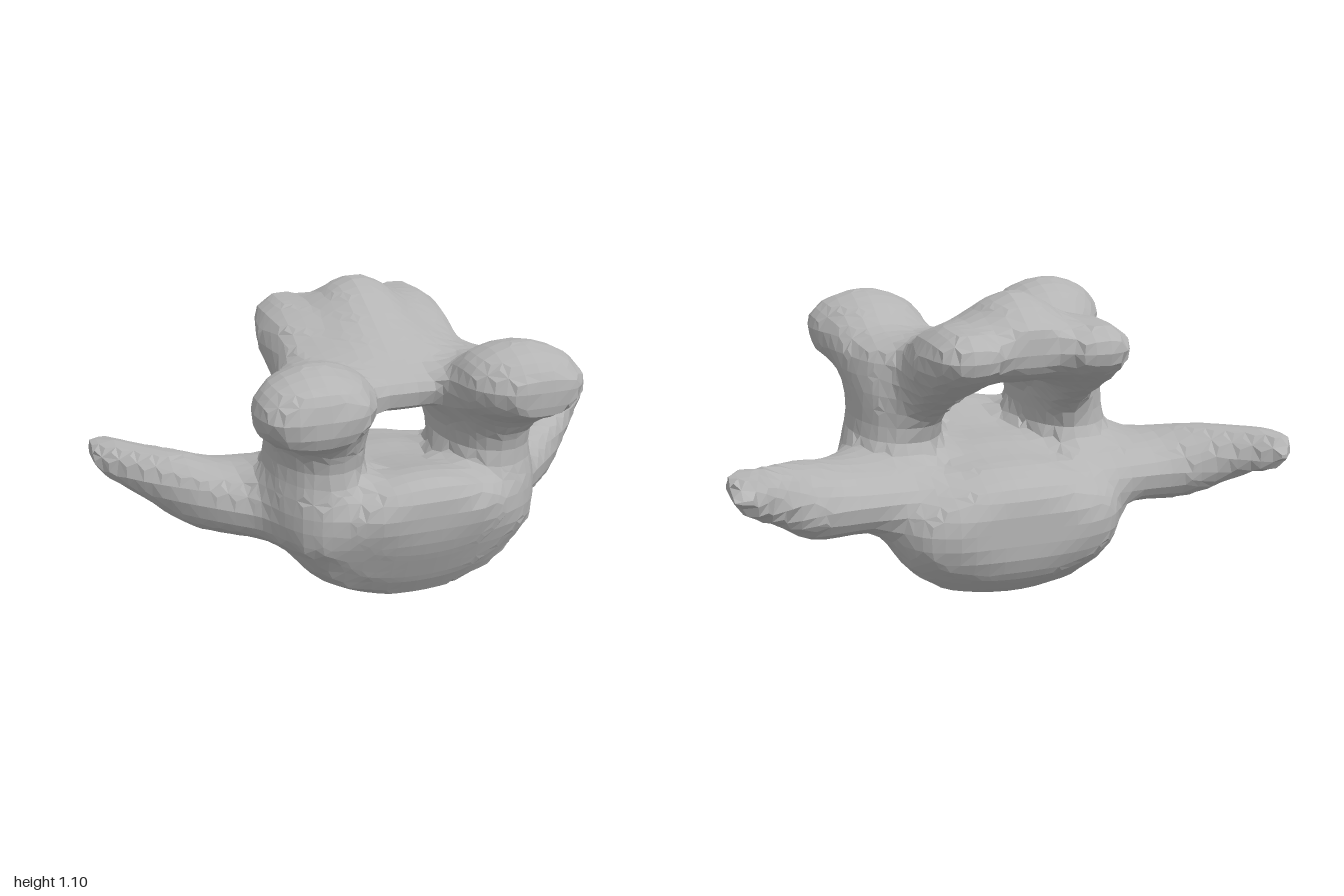
import * as THREE from 'three';

// Each part is a run of oval sections [x, y, z, ru, rv] along one axis.
// Section planes: z-axis uses (x, y), x-axis uses (y, z), y-axis uses (z, x).
const AXES = { x: [0, 1, 2], y: [1, 2, 0], z: [2, 0, 1] };

// Rounded main block
const BODY = [
  [0, 0.29, -0.45, 0.25, 0.12], [0, 0.27, -0.40, 0.36, 0.18], [0, 0.245, -0.30, 0.42, 0.245],
  [0, 0.25, -0.2, 0.44, 0.25], [0, 0.275, -0.1, 0.44, 0.245], [0, 0.295, 0.06, 0.44, 0.23],
  [0, 0.30, 0.22, 0.43, 0.25], [0, 0.335, 0.34, 0.40, 0.24], [0, 0.39, 0.42, 0.32, 0.18],
  [0, 0.47, 0.49, 0.2, 0.08],
];
// Side wing, sweeping backwards
const WING = [
  [0.25, 0.38, 0.0, 0.15, 0.3], [0.45, 0.38, -0.05, 0.13, 0.29], [0.6, 0.38, -0.12, 0.13, 0.22],
  [0.72, 0.4, -0.19, 0.14, 0.17], [0.85, 0.46, -0.29, 0.1, 0.14],
  [0.95, 0.5, -0.39, 0.08, 0.13], [1.01, 0.52, -0.41, 0.045, 0.1],
];
// Upright pillar beside the canal
const PILLAR = [
  [0.33, 0.33, 0.13, 0.26, 0.15], [0.33, 0.48, 0.13, 0.27, 0.17], [0.315, 0.6, 0.11, 0.27, 0.165],
  [0.31, 0.72, 0.13, 0.28, 0.17], [0.29, 0.86, 0.12, 0.2, 0.14],
];
// Front knob on top of the pillar
const KNOB = [
  [0.31, 0.78, 0.0, 0.11, 0.09], [0.33, 0.79, 0.15, 0.16, 0.12], [0.365, 0.84, 0.27, 0.2, 0.15],
  [0.385, 0.86, 0.38, 0.22, 0.155], [0.395, 0.87, 0.48, 0.205, 0.13],
  [0.405, 0.865, 0.55, 0.17, 0.1], [0.41, 0.86, 0.585, 0.12, 0.07],
];
// Rear lobe flanking the ridge
const LOBE = [
  [0.22, 0.93, -0.585, 0.08, 0.055], [0.23, 0.92, -0.5, 0.12, 0.095],
  [0.25, 0.88, -0.37, 0.125, 0.13], [0.26, 0.8, -0.2, 0.1, 0.15], [0.26, 0.72, -0.05, 0.09, 0.13],
];
// Roof over the canal
const ROOF = [
  [0, 0.93, -0.5, 0.15, 0.07], [0, 0.92, -0.42, 0.24, 0.11], [0, 0.92, -0.32, 0.29, 0.125],
  [0, 0.90, -0.22, 0.31, 0.13], [0, 0.865, -0.1, 0.31, 0.12], [0, 0.83, 0.05, 0.32, 0.095],
  [0, 0.815, 0.17, 0.28, 0.07], [0, 0.795, 0.27, 0.2, 0.05],
];
// Crest rising along the middle of the roof
const RIDGE = [
  [0, 0.94, -0.51, 0.09, 0.06], [0, 0.97, -0.42, 0.12, 0.1], [0, 0.985, -0.32, 0.13, 0.13],
  [0, 0.97, -0.22, 0.14, 0.125], [0, 0.92, -0.08, 0.14, 0.1], [0, 0.85, 0.1, 0.14, 0.06],
];

// Roughly signed distance from p to a part: negative inside
function distance({ axis, rings, side }, point) {
  const p = [point[0] * side, point[1], point[2]];
  const [w, u, v] = AXES[axis];
  const first = rings[0], last = rings[rings.length - 1];
  const along = Math.min(Math.max(p[w], first[w]), last[w]);
  let i = 0;
  while (i < rings.length - 2 && rings[i + 1][w] < along) i++;
  const t = (along - rings[i][w]) / (rings[i + 1][w] - rings[i][w]);
  const r = rings[i].map((value, n) => value + (rings[i + 1][n] - value) * t);
  const round = (Math.hypot((p[u] - r[u]) / r[3], (p[v] - r[v]) / r[4]) - 1) * Math.min(r[3], r[4]);
  const beyond = Math.max(first[w] - p[w], p[w] - last[w]);
  return round > 0 && beyond > 0 ? Math.hypot(round, beyond) : Math.max(round, beyond);
}

// Smooth blend of all parts, so they flow together like bone
const BLEND = 0.06;
function blended(parts, p) {
  return parts.map((part) => distance(part, p)).reduce((a, b) => {
    const h = Math.max(BLEND - Math.abs(a - b), 0) / BLEND;
    return Math.min(a, b) - h * h * BLEND * 0.25;
  });
}

// Wraps the blended parts in a faceted skin; returns triangle corners for each part
function skin(parts) {
  const step = 0.053, low = [-1.113, -0.106, -0.72], size = [43, 26, 27];
  const place = (c) => c.map((n, a) => low[a] + n * step);
  const key = (c) => (c[0] * size[1] + c[1]) * size[2] + c[2];
  const move = (c, a, n) => c.map((value, b) => (b === a ? value + n : value));
  const values = new Float32Array(size[0] * size[1] * size[2]);
  const each = (visit) => {
    for (let x = 0; x < size[0]; x++)
      for (let y = 0; y < size[1]; y++)
        for (let z = 0; z < size[2]; z++) visit([x, y, z]);
  };
  each((c) => { values[key(c)] = blended(parts, place(c)); });

  // one corner per crossed cell: the mean of its edge crossings
  const corner = (cell) => {
    const sum = [0, 0, 0];
    let count = 0;
    for (let a = 0; a < 3; a++) {
      for (let n = 0; n < 4; n++) {
        const from = move(move(cell, (a + 1) % 3, n & 1), (a + 2) % 3, n >> 1);
        const f = values[key(from)], g = values[key(move(from, a, 1))];
        if (f < 0 === g < 0) continue;
        place(move(from, a, f / (f - g))).forEach((value, b) => { sum[b] += value; });
        count++;
      }
    }
    return sum.map((value) => value / count);
  };

  const triangles = parts.map(() => []);
  each((c) => {
    for (let a = 0; a < 3; a++) {
      if (c[a] + 1 >= size[a]) continue;
      const inside = values[key(c)] < 0;
      if (inside === values[key(move(c, a, 1))] < 0) continue;
      const b = (a + 1) % 3, d = (a + 2) % 3;
      const quad = [c, move(c, b, -1), move(move(c, b, -1), d, -1), move(c, d, -1)].map(corner);
      if (!inside) quad.reverse();
      // the face belongs to the nearest part
      const near = parts.map((part) => distance(part, quad[0]));
      const owner = triangles[near.indexOf(Math.min(...near))];
      for (const n of [0, 1, 2, 0, 2, 3]) owner.push(...quad[n]);
    }
  });
  return triangles;
}

export function createModel() {
  const model = new THREE.Group();
  model.name = 'vertebra';
  const bone = new THREE.MeshStandardMaterial({ color: 0xb4b4b4 });
  bone.name = 'grey bone';

  const parts = [
    { name: 'body', axis: 'z', rings: BODY, side: 1 },
    { name: 'canalRoof', axis: 'z', rings: ROOF, side: 1 },
    { name: 'ridge', axis: 'z', rings: RIDGE, side: 1 },
  ];
  for (const side of [1, -1]) {
    const name = side > 0 ? 'left' : 'right';
    // the left wing tip turns up, and the left knob sits nearer the middle
    const lift = side > 0 ? 0.02 : -0.03, inward = side > 0 ? -0.045 : 0.01;
    const wing = WING.map(([x, y, ...rest]) => [x, y + Math.max(0, (x - 0.7) / 0.3) * lift, ...rest]);
    const knob = KNOB.map(([x, y, z, ...radii]) => [
      x + (z > 0.2 ? inward : 0), y, z - (side > 0 && z > 0.45 ? 0.02 : 0), ...radii,
    ]);
    parts.push(
      { name: name + 'Wing', axis: 'x', rings: wing, side },
      { name: name + 'Pillar', axis: 'y', rings: PILLAR, side },
      { name: name + 'FrontKnob', axis: 'z', rings: knob, side },
      { name: name + 'RearLobe', axis: 'z', rings: LOBE, side },
    );
  }

  skin(parts).forEach((corners, i) => {
    const geometry = new THREE.BufferGeometry();
    geometry.setAttribute('position', new THREE.Float32BufferAttribute(corners, 3));
    geometry.computeVertexNormals();
    const mesh = new THREE.Mesh(geometry, bone);
    mesh.name = parts[i].name;
    model.add(mesh);
  });
  return model;
}
